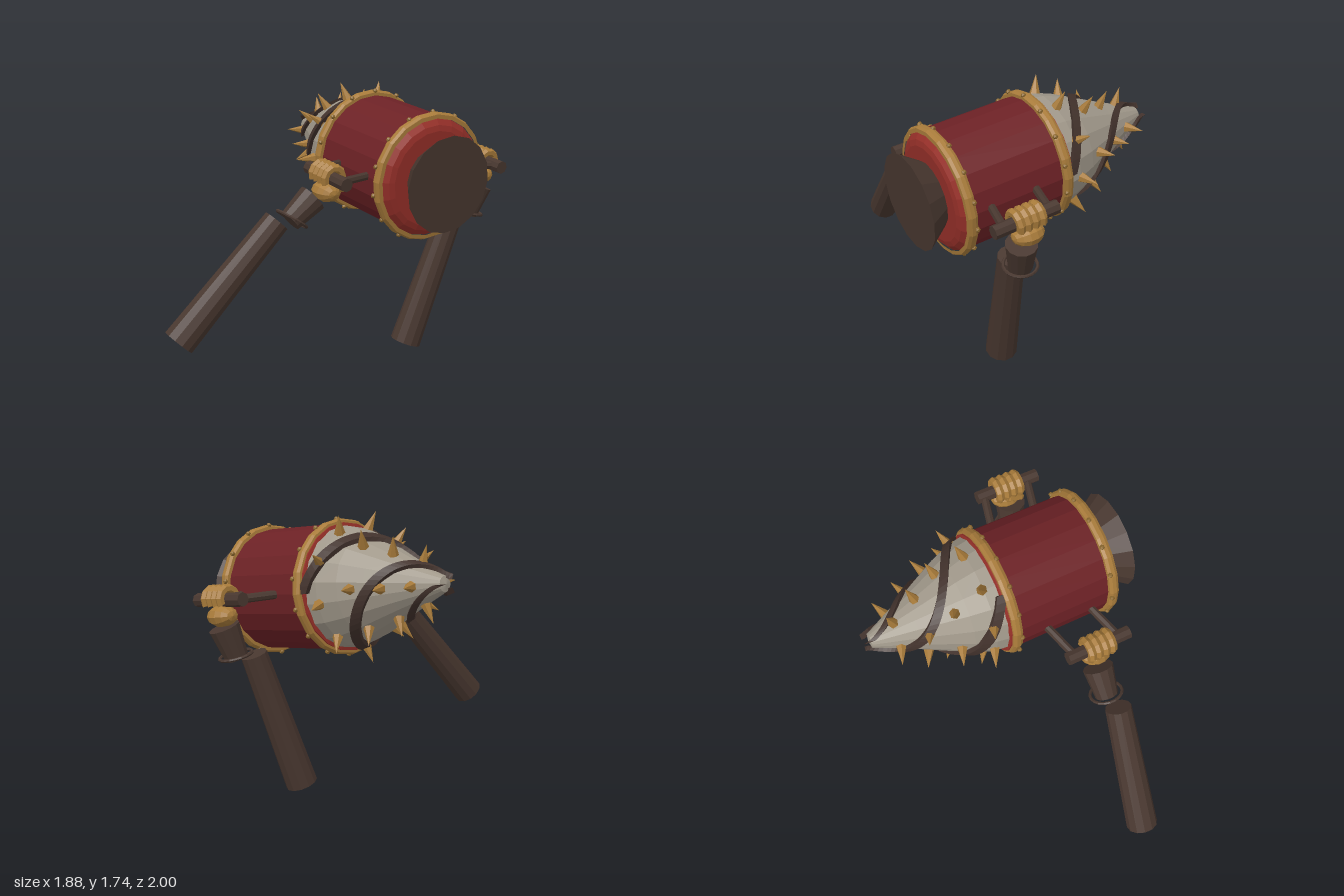
import * as THREE from 'three';

const mat = (name, color, extra = {}) => {
  const m = new THREE.MeshStandardMaterial({ color, flatShading: true, ...extra });
  m.name = name;
  return m;
};
const V = (x, y, z) => new THREE.Vector3(x, y, z);
const UP = V(0, 1, 0);

export function createModel() {
  const brown = mat('dark brown leather', 0x48372f);
  const strap = mat('spiral brown', 0x42322c, { side: THREE.DoubleSide });
  const red = mat('deep red', 0x6c2125);
  const lidRed = mat('bright red', 0x973029);
  const gold = mat('gold', 0xa87b3a);
  const rivetGold = mat('dull gold', 0x8c692f);
  const grey = mat('warm grey', 0xa0988a);

  const root = new THREE.Group();
  root.name = 'drillRocket';

  const add = (parent, name, geo, material, pos) => {
    const m = new THREE.Mesh(geo, material);
    m.name = name;
    if (pos) m.position.copy(pos);
    parent.add(m);
    return m;
  };
  // Cylinder from point a (radius ra) to point b (radius rb)
  const rod = (parent, name, a, b, ra, rb, material, sides = 10) => {
    const d = b.clone().sub(a);
    const m = add(parent, name, new THREE.CylinderGeometry(rb, ra, d.length(), sides), material,
      a.clone().add(b).multiplyScalar(0.5));
    m.quaternion.setFromUnitVectors(UP, d.normalize());
    return m;
  };
  const lathe = (pts, sides = 20) =>
    new THREE.LatheGeometry(pts.map(([r, t]) => new THREE.Vector2(r, t)), sides);

  // Rocket frame: local y runs to the drill tip, x is sideways, z is upwards
  const rocket = new THREE.Group();
  rocket.name = 'rocket';
  const axis = V(-0.702, 0.132, -0.702).normalize();
  const side = V(1, 0, -1).normalize();
  rocket.quaternion.setFromRotationMatrix(
    new THREE.Matrix4().makeBasis(side, axis, side.clone().cross(axis)));
  rocket.position.set(0.25, 1.25, -0.145);
  root.add(rocket);

  // Barrel, end lids and exhaust nozzle
  add(rocket, 'barrel', new THREE.CylinderGeometry(0.375, 0.375, 0.66, 20, 1, true), red);
  add(rocket, 'frontLid', lathe([[0, -0.385], [0.3, -0.385], [0.335, -0.375], [0.37, -0.345], [0.37, -0.3]]), lidRed);
  add(rocket, 'backLid', lathe([[0.38, 0.3], [0.38, 0.365], [0.34, 0.375], [0, 0.375]]), lidRed);
  add(rocket, 'nozzle', new THREE.CylinderGeometry(0.2, 0.305, 0.15, 16), brown, V(0, -0.45, 0));

  // Gold hoops with rivets
  for (const s of [-1, 1]) {
    add(rocket, 'hoop', lathe([[0.37, -0.032], [0.395, -0.03], [0.405, -0.012],
      [0.405, 0.012], [0.395, 0.03], [0.37, 0.032]]), gold, V(0, s * 0.325, 0));
    for (let i = 0; i < 14; i++) {
      const q = (i + 0.5) / 14 * Math.PI * 2;
      add(rocket, 'rivet', new THREE.IcosahedronGeometry(0.017, 0), rivetGold,
        V(Math.cos(q) * 0.402, s * 0.305, Math.sin(q) * 0.402));
    }
  }

  // Drill cone
  const profile = [[0.365, 0.35], [0.35, 0.44], [0.305, 0.56], [0.235, 0.7], [0.165, 0.84], [0.1, 0.98], [0.045, 1.1]];
  const radiusAt = (t) => {
    let i = 0;
    while (i < profile.length - 2 && profile[i + 1][1] < t) i++;
    const [r0, t0] = profile[i], [r1, t1] = profile[i + 1];
    return r0 + (r1 - r0) * (t - t0) / (t1 - t0);
  };
  add(rocket, 'drillCone', lathe([...profile, [0, 1.11]], 18), grey);

  // Three raised spiral bands, swept from a rectangular section
  const spiral = (start) => {
    const pos = [], idx = [], n = 36;
    for (let i = 0; i <= n; i++) {
      const t = 0.36 + 0.75 * i / n;
      const q = start + (t - 0.36) * 5.6;
      for (const [dt, dr] of [[-1, -0.01], [-1, 0.024], [1, 0.024], [1, -0.01]]) {
        const tt = t + dt * 0.03;
        const r = Math.max(radiusAt(tt), 0.035) + dr;
        pos.push(Math.cos(q) * r, tt, Math.sin(q) * r);
      }
      if (i < n) for (let k = 0; k < 4; k++) {
        const a = i * 4 + k, b = i * 4 + (k + 1) % 4;
        idx.push(a, b, a + 4, b, b + 4, a + 4);
      }
    }
    idx.push(0, 2, 1, 0, 3, 2, n * 4, n * 4 + 1, n * 4 + 2, n * 4, n * 4 + 2, n * 4 + 3);
    const g = new THREE.BufferGeometry();
    g.setAttribute('position', new THREE.Float32BufferAttribute(pos, 3));
    g.setIndex(idx);
    g.computeVertexNormals();
    return g;
  };
  for (let k = 0; k < 3; k++) add(rocket, 'spiralBand', spiral(k * Math.PI * 2 / 3), strap);

  // Spikes in rows: distance along axis, count, first angle in degrees
  for (const [t, count, first] of [[0.45, 9, 29], [0.63, 6, 2], [0.79, 5, 0], [0.95, 4, 0]]) {
    for (let i = 0; i < count; i++) {
      const q = (first + 360 * i / count) * Math.PI / 180;
      const dir = V(Math.cos(q), 0.4, Math.sin(q)).normalize();
      const base = V(Math.cos(q) * radiusAt(t), t, Math.sin(q) * radiusAt(t));
      const spike = add(rocket, 'spike', new THREE.ConeGeometry(0.036, 0.13, 6), gold,
        base.addScaledVector(dir, 0.05));
      spike.quaternion.setFromUnitVectors(UP, dir);
    }
  }

  // Side handles, each gripped by a fist
  for (const s of [-1, 1]) {
    const handle = new THREE.Group();
    handle.name = s > 0 ? 'leftHandle' : 'rightHandle';
    rocket.add(handle);
    for (const t of [0.12, -0.18])
      rod(handle, 'handleStrut', V(s * 0.34, t, 0), V(s * 0.6, t - 0.07, 0), 0.026, 0.026, brown, 8);
    rod(handle, 'grip', V(s * 0.6, -0.32, 0), V(s * 0.6, 0.1, 0), 0.042, 0.042, brown, 8);

    const hand = new THREE.Group();
    hand.name = s > 0 ? 'leftHand' : 'rightHand';
    hand.position.set(s * 0.6, -0.105, 0);
    handle.add(hand);
    for (let i = 0; i < 4; i++) {
      const finger = new THREE.TorusGeometry(0.062, 0.026, 6, 7, Math.PI * 1.3);
      finger.rotateZ(-Math.PI * 0.15).rotateX(Math.PI / 2);
      add(hand, 'finger', finger, gold, V(0, (i - 1.5) * 0.047, 0.005));
    }
    const palm = add(hand, 'palm', new THREE.SphereGeometry(1, 10, 7), gold, V(0, 0, -0.095));
    palm.scale.set(0.085, 0.1, 0.065);
    const thumb = add(hand, 'thumb', new THREE.CapsuleGeometry(0.026, 0.09, 2, 6), gold, V(-s * 0.065, -0.03, -0.045));
    thumb.rotation.x = 0.4;
  }

  // Cuffs, loose bracelets and forearms
  const arms = [
    { name: 'leftArm', cuffTop: V(0.735, 1.07, -0.47), cuffEnd: V(0.665, 0.88, -0.45),
      top: V(0.57, 0.885, -0.375), foot: V(0.295, 0.034, -0.26) },
    { name: 'rightArm', cuffTop: V(-0.185, 1.105, 0.385), cuffEnd: V(-0.3, 0.98, 0.48),
      top: V(-0.36, 0.995, 0.57), foot: V(-0.865, 0.325, 0.915) },
  ];
  for (const a of arms) {
    const arm = new THREE.Group();
    arm.name = a.name;
    root.add(arm);
    rod(arm, 'cuff', a.cuffEnd, a.cuffTop, 0.072, 0.095, brown, 12);
    rod(arm, 'forearm', a.foot, a.top, 0.1, 0.082, brown, 12);
    const bracelet = add(arm, 'bracelet', new THREE.TorusGeometry(0.1, 0.01, 6, 18), brown,
      a.cuffEnd.clone().lerp(a.cuffTop, 0.08));
    const d = a.cuffTop.clone().sub(a.cuffEnd).normalize().add(V(0, 0.5, 0)).normalize();
    bracelet.quaternion.setFromUnitVectors(V(0, 0, 1), d);
  }
  return root;
}
